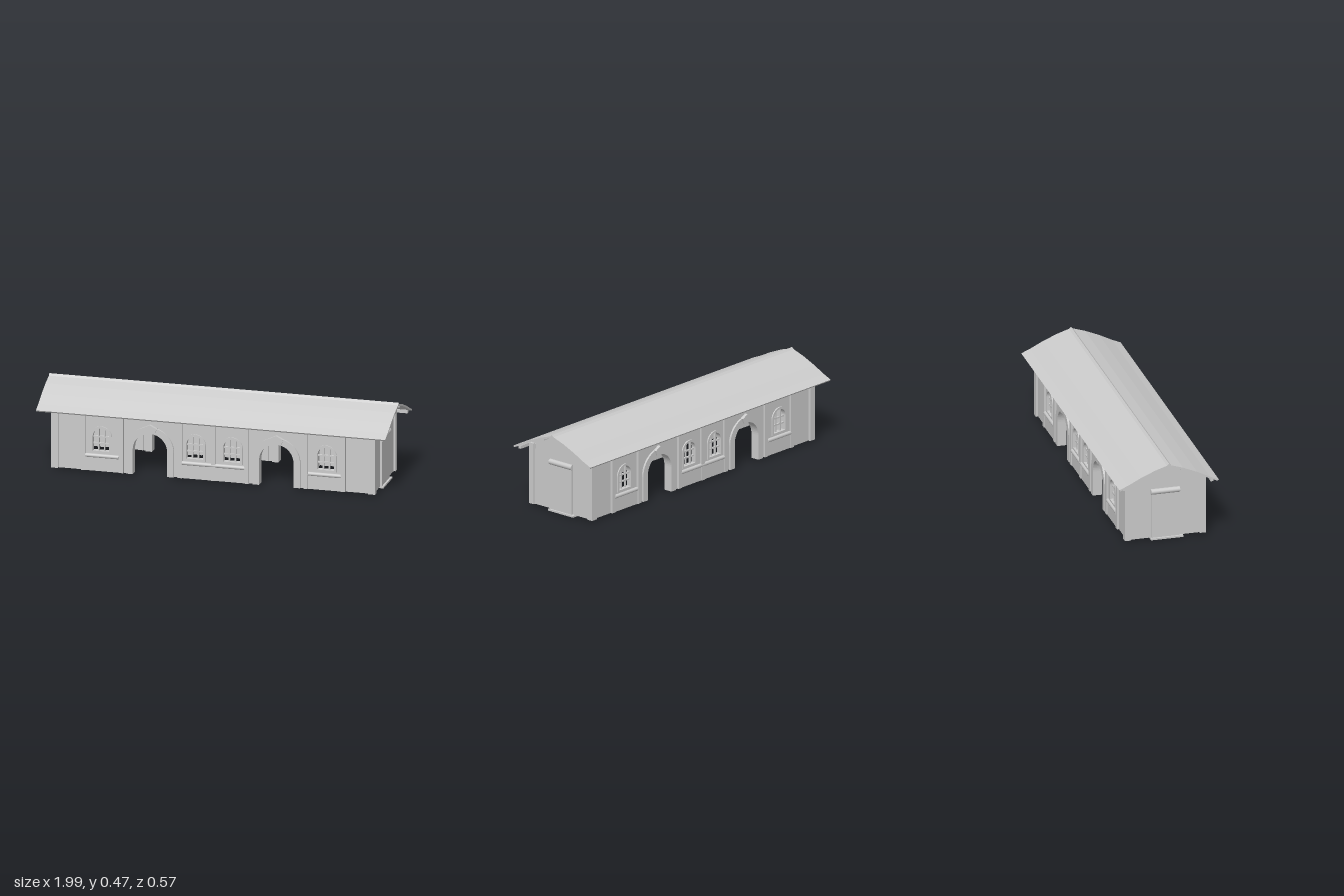
import * as THREE from 'three';

const mat = new THREE.MeshStandardMaterial({ color: 0xcccccc, side: THREE.DoubleSide });

function add(parent, name, geo, x = 0, y = 0, z = 0) {
  const m = new THREE.Mesh(geo, mat);
  m.name = name;
  m.position.set(x, y, z);
  parent.add(m);
  return m;
}

// box given by its limits
function box(parent, name, x0, x1, y0, y1, z0, z1) {
  return add(parent, name, new THREE.BoxGeometry(x1 - x0, y1 - y0, z1 - z0),
    (x0 + x1) / 2, (y0 + y1) / 2, (z0 + z1) / 2);
}

const extrude = (shape, depth) =>
  new THREE.ExtrudeGeometry(shape, { depth, bevelEnabled: false, curveSegments: 14 });

// round-headed opening centred on x
function archPath(x, half, y0, top, Type = THREE.Path) {
  const p = new Type();
  p.moveTo(x - half, y0);
  p.lineTo(x + half, y0);
  p.lineTo(x + half, top - half);
  p.absarc(x, top - half, half, 0, Math.PI, false);
  p.lineTo(x - half, y0);
  return p;
}

// band following a round-headed opening, open at the foot
function archBand(x, inner, outer, y0, spring) {
  const s = new THREE.Shape();
  s.moveTo(x + inner, y0);
  s.lineTo(x + outer, y0);
  s.lineTo(x + outer, spring);
  s.absarc(x, spring, outer, 0, Math.PI, false);
  s.lineTo(x - outer, y0);
  s.lineTo(x - inner, y0);
  s.lineTo(x - inner, spring);
  s.absarc(x, spring, inner, Math.PI, 0, true);
  return s;
}

const BASE = 0.012, EAVE = 0.365, DOORS = [-0.36, 0.36], WINDOWS = [-0.64, -0.105, 0.105, 0.64];

function makeWindow(x) {
  const g = new THREE.Group();
  g.name = 'window';
  const frame = archPath(x, 0.062, 0.118, 0.27, THREE.Shape);
  frame.holes.push(archPath(x, 0.047, 0.128, 0.258));
  add(g, 'windowFrame', extrude(frame, 0.03), 0, 0, 0.195);
  for (const s of [-1, 1]) box(g, 'verticalBar', x + s * 0.017 - 0.004, x + s * 0.017 + 0.004, 0.125, 0.252, 0.202, 0.213);
  for (const y of [0.168, 0.207]) box(g, 'horizontalBar', x - 0.05, x + 0.05, y - 0.004, y + 0.004, 0.202, 0.213);
  return g;
}

function makeLongSide() {
  const g = new THREE.Group();
  g.name = 'longSide';

  // wall outline stepping over both archways
  const wall = new THREE.Shape();
  wall.moveTo(-0.915, BASE);
  for (const x of DOORS) {
    wall.lineTo(x - 0.1, BASE);
    wall.lineTo(x - 0.1, 0.155);
    wall.absarc(x, 0.155, 0.1, Math.PI, 0, true);
    wall.lineTo(x + 0.1, BASE);
  }
  wall.lineTo(0.915, BASE);
  wall.lineTo(0.915, EAVE);
  wall.lineTo(-0.915, EAVE);
  for (const x of WINDOWS) wall.holes.push(archPath(x, 0.05, 0.125, 0.26));
  add(g, 'wall', extrude(wall, 0.025), 0, 0, 0.193);

  for (const x of WINDOWS) g.add(makeWindow(x));

  // archway surrounds with keystones
  for (const x of DOORS) {
    add(g, 'archSurround', extrude(archBand(x, 0.098, 0.135, BASE, 0.155), 0.052), 0, 0, 0.177);
    const key = new THREE.Shape();
    key.moveTo(x - 0.028, 0.255);
    key.lineTo(x + 0.028, 0.255);
    key.lineTo(x + 0.04, 0.285);
    key.lineTo(x, 0.305);
    key.lineTo(x - 0.04, 0.285);
    add(g, 'keystone', extrude(key, 0.045), 0, 0, 0.192);
  }

  // pilasters and corner posts
  for (const x of [-0.74, -0.525, -0.19, 0, 0.19, 0.525, 0.74])
    box(g, 'pilaster', x - 0.013, x + 0.013, BASE, EAVE, 0.19, 0.23);
  for (const s of [-1, 1]) box(g, 'cornerPost', s * 0.904 - 0.02, s * 0.904 + 0.02, BASE, EAVE, 0.198, 0.232);

  // panels with a rounded ledge under the windows
  for (const [a, b] of [[-0.73, -0.54], [-0.18, 0.18], [0.54, 0.73]]) {
    box(g, 'sillPanel', a, b, BASE, 0.1, 0.2, 0.225);
    const ledge = new THREE.CylinderGeometry(0.011, 0.011, b - a, 10).rotateZ(Math.PI / 2);
    add(g, 'sillLedge', ledge, (a + b) / 2, 0.099, 0.221);
  }
  box(g, 'eaveBeam', -0.915, 0.915, 0.335, EAVE, 0.19, 0.23);
  return g;
}

function makeEnd() {
  const g = new THREE.Group();
  g.name = 'endWall';
  const gable = new THREE.Shape();
  [[-0.218, BASE], [0.218, BASE], [0.218, 0.37], [0.08, 0.43], [0, 0.46], [-0.08, 0.43], [-0.218, 0.37]]
    .forEach(([z, y], i) => (i ? gable.lineTo(z, y) : gable.moveTo(z, y)));
  add(g, 'gableWall', extrude(gable, 0.025).rotateY(Math.PI / 2), 0.887);
  box(g, 'door', 0.9, 0.921, BASE, 0.285, -0.08, 0.08);
  const lintel = new THREE.CylinderGeometry(0.016, 0.016, 0.164, 12).rotateX(Math.PI / 2);
  add(g, 'doorLintel', lintel, 0.916, 0.286, 0);
  box(g, 'doorStep', 0.89, 0.932, 0.003, 0.013, -0.1, 0.085);
  return g;
}

function makeRoof() {
  const g = new THREE.Group();
  g.name = 'roof';
  // gently flared slopes with a small ridge cap
  const half = [[0, 0.478], [0.012, 0.467], [0.08, 0.445], [0.16, 0.411], [0.235, 0.373], [0.284, 0.352],
    [0.278, 0.344], [0.235, 0.362], [0.16, 0.4], [0.08, 0.433], [0, 0.46]];
  for (const s of [-1, 1]) {
    const shape = new THREE.Shape();
    half.forEach(([z, y], i) => (i ? shape.lineTo(s * z, y) : shape.moveTo(s * z, y)));
    add(g, 'roofSlope', extrude(shape, 1.99).rotateY(Math.PI / 2), -0.995);
    // purlins showing under the overhang
    box(g, 'purlin', -0.98, 0.98, 0.425, 0.438, s * 0.08 - 0.008, s * 0.08 + 0.008);
    box(g, 'eavePurlin', -0.98, 0.98, 0.338, 0.356, s * 0.25 - 0.008, s * 0.25 + 0.008);
  }
  return g;
}

export function createModel() {
  const model = new THREE.Group();
  model.name = 'longHall';
  for (const turn of [0, Math.PI]) {
    const side = makeLongSide(), end = makeEnd();
    side.rotation.y = end.rotation.y = turn;
    model.add(side, end);
  }
  model.add(makeRoof());
  return model;
}
